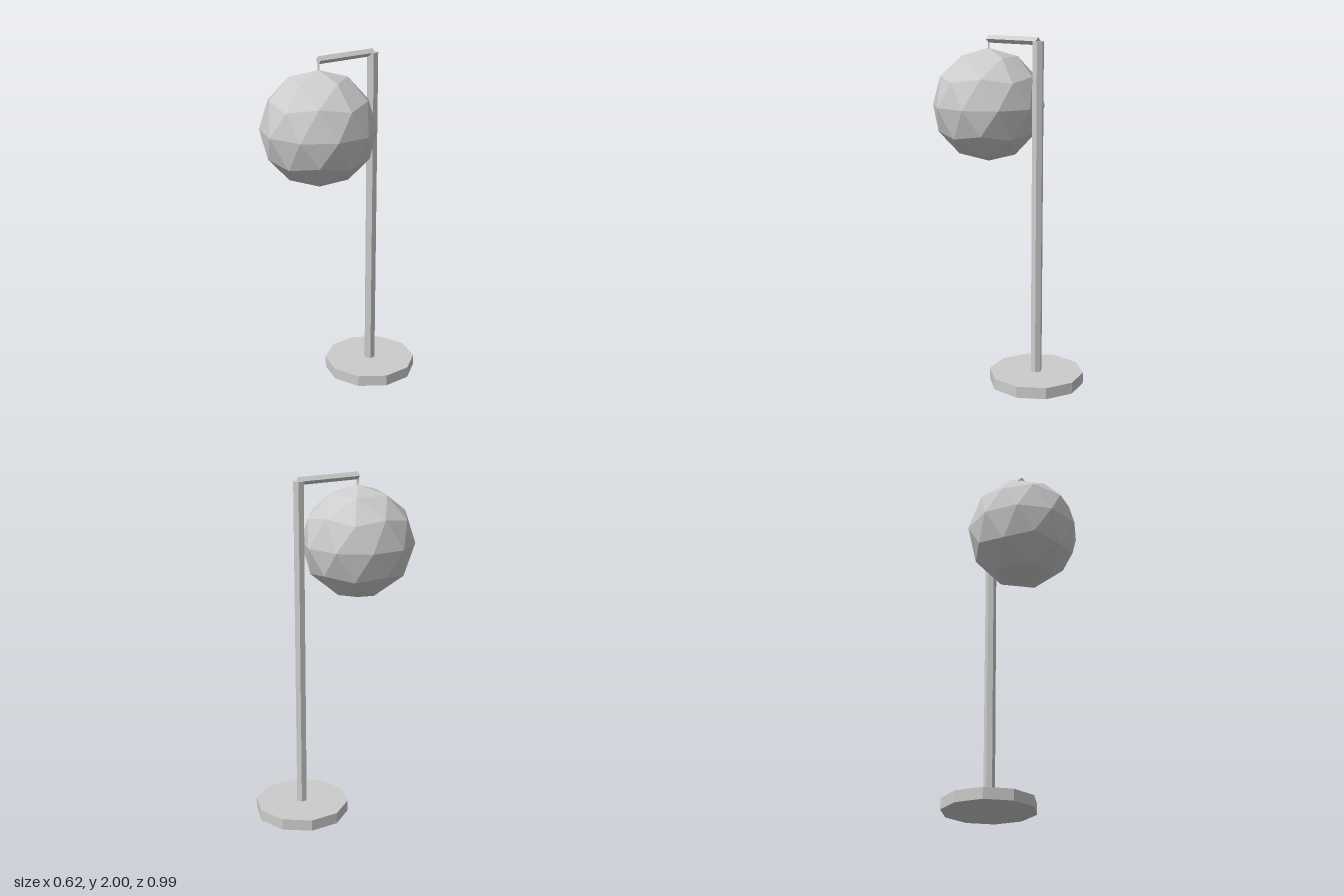
import * as THREE from 'three';

export function createModel() {
  const lamp = new THREE.Group();
  lamp.name = 'floorLamp';

  const grey = new THREE.MeshStandardMaterial({ color: 0xcccccc });
  grey.name = 'light grey';
  grey.flatShading = true;

  const POST_Z = -0.22, GLOBE_Z = 0.166, ARM_Y = 1.978;

  function add(name, geometry, x, y, z) {
    const mesh = new THREE.Mesh(geometry, grey);
    mesh.name = name;
    mesh.position.set(x, y, z);
    lamp.add(mesh);
    return mesh;
  }

  // Upright prism between two heights
  function prism(name, radius, sides, bottom, top, z) {
    const geometry = new THREE.CylinderGeometry(radius, radius, top - bottom, sides);
    return add(name, geometry, 0, (bottom + top) / 2, z);
  }

  // Ten-sided foot and six-sided post
  prism('base', 0.275, 10, 0, 0.066, POST_Z);
  prism('post', 0.033, 6, 0.066, ARM_Y, POST_Z);

  // Diamond-section arm reaching forward from the top of the post
  const armLength = GLOBE_Z - 0.003 - POST_Z;
  const arm = new THREE.CylinderGeometry(0.022, 0.022, armLength, 4);
  arm.rotateX(Math.PI / 2);
  add('arm', arm, 0, ARM_Y, POST_Z + armLength / 2);

  // Thin hanger between arm and globe
  prism('hanger', 0.007, 4, 1.91, ARM_Y, GLOBE_Z - 0.004);

  // Faceted globe, turned so a five-sided corner points straight up
  const globe = new THREE.IcosahedronGeometry(0.328, 1);
  globe.rotateZ(-Math.atan(2 / (1 + Math.sqrt(5))));
  add('globeShade', globe, 0, 1.598, GLOBE_Z);

  return lamp;
}
